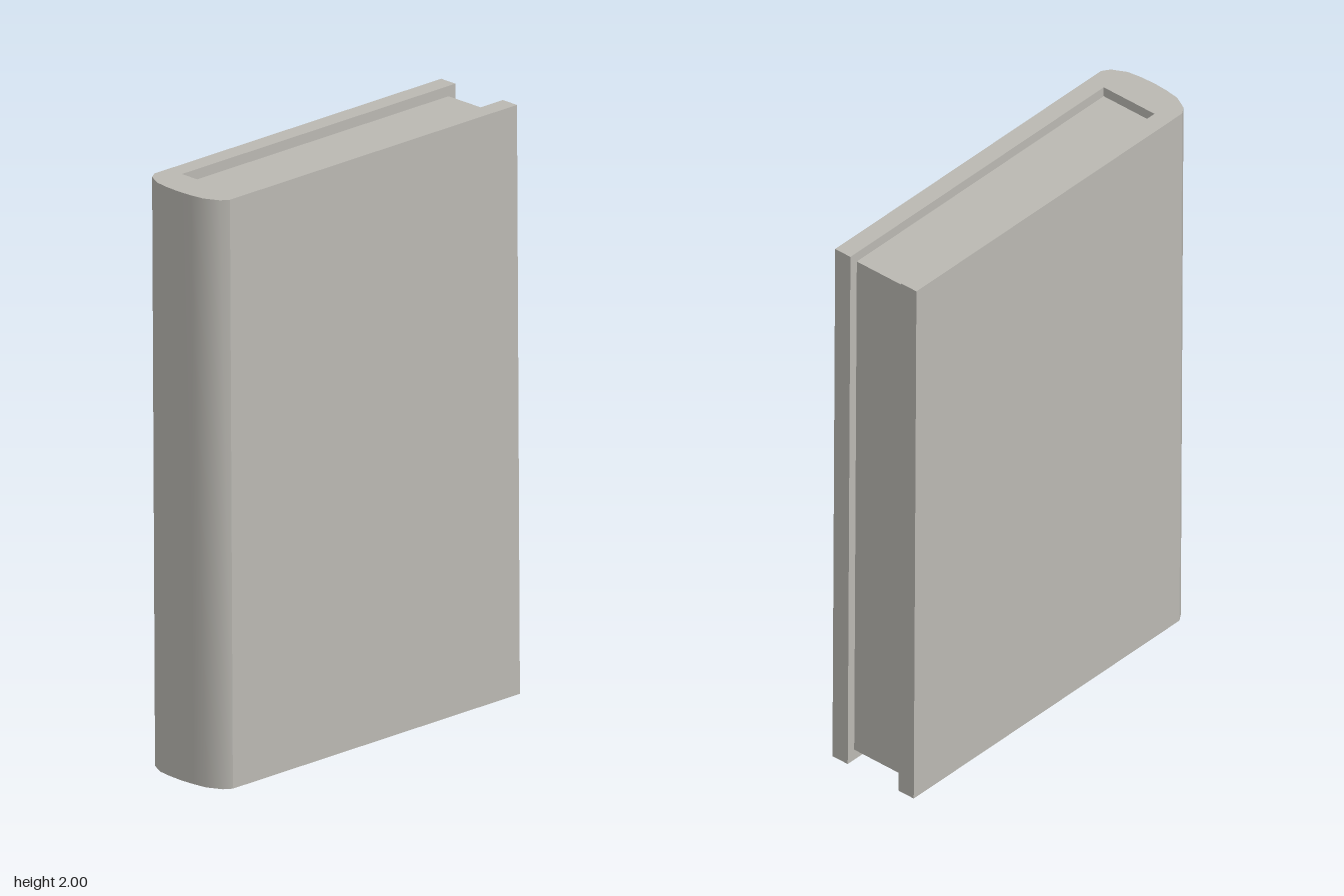
import * as THREE from 'three';
import { toCreasedNormals } from 'three/addons/utils/BufferGeometryUtils.js';

// Slight lean: the foot of the book sits a little further right than its head
function lean(geometry) {
  const p = geometry.attributes.position;
  for (let i = 0; i < p.count; i++) {
    p.setX(i, p.getX(i) + 0.0065 * (1 - p.getY(i)));
  }
  geometry.computeVertexNormals();
  return geometry;
}

export function createModel() {
  const book = new THREE.Group();
  book.name = 'book';
  const grey = new THREE.MeshStandardMaterial({ color: 0xbab8b2 });
  grey.name = 'warm grey';

  // Cover: two boards joined by a rounded spine, as one U-shaped outline
  const half = [[0.671, 0.108], [0.671, 0.173], [-0.61, 0.173], [-0.637, 0.155], [-0.663, 0.105], [-0.67, 0.055]];
  const inner = [[-0.55, -0.108], [-0.55, 0.108]];
  const mirrored = half.map(([x, z]) => [x, -z]).reverse();
  const outline = [...half, [-0.673, 0], ...mirrored, ...inner];
  const shape = new THREE.Shape(outline.map(([x, z]) => new THREE.Vector2(x, z)));
  const coverGeometry = new THREE.ExtrudeGeometry(shape, { depth: 2, bevelEnabled: false, steps: 1 });
  coverGeometry.rotateX(-Math.PI / 2);
  const cover = new THREE.Mesh(toCreasedNormals(lean(coverGeometry), 0.56), grey);
  cover.name = 'cover';

  // Page block, recessed at head, foot and fore edge
  const pageGeometry = new THREE.BoxGeometry(1.19, 1.925, 0.216);
  pageGeometry.translate(0.045, 1.0025, 0);
  const pages = new THREE.Mesh(lean(pageGeometry), grey);
  pages.name = 'pages';

  book.add(cover, pages);
  return book;
}
